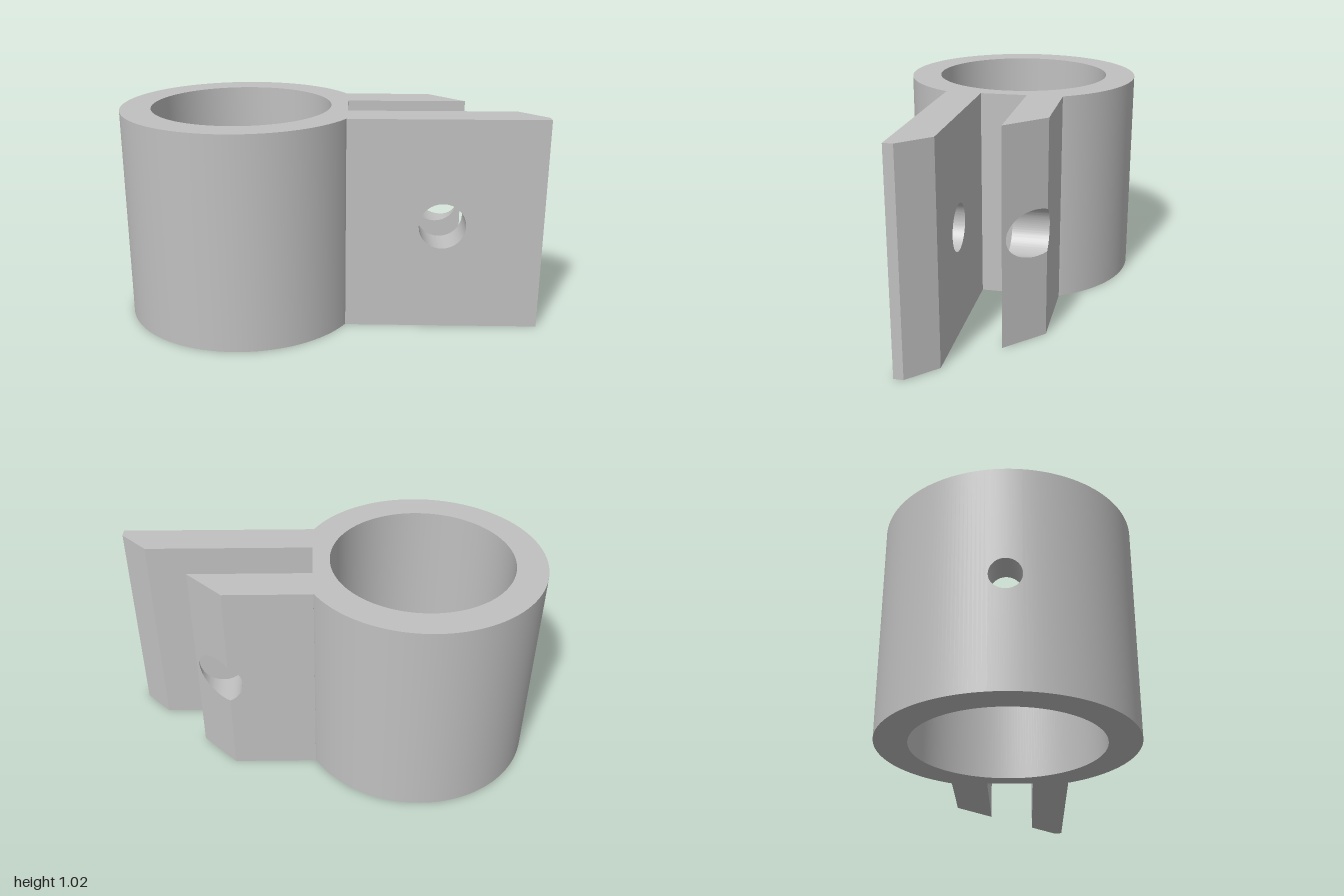
import * as THREE from 'three';
import { toCreasedNormals, mergeGeometries } from 'three/addons/utils/BufferGeometryUtils.js';

const H = 1.02, MID = 0.51;                 // height and hole level
const CX = -0.425, R_OUT = 0.575, R_IN = 0.43;
const WEB_X = 0.085;                        // flat floor of the slot
const PIN = 0.07;                           // small radial hole
const BOLT = 0.11, BOLT_X = 0.53;           // hole through both arms

// Sweeps a four-sided wall section around the ring; each side keeps its own vertices
function sweepWall(n, angle, low, high) {
  const pos = [], index = [];
  const corner = (t, k) => {
    const r = k < 2 ? R_OUT : R_IN, a = angle(r, t);
    const x = Math.min(CX + r * Math.cos(a), WEB_X);
    return [x, k === 0 || k === 3 ? low(t) : high(t), r * Math.sin(a)];
  };
  for (let side = 0; side < 4; side++) {
    const base = pos.length / 3;
    for (let i = 0; i <= n; i++) {
      pos.push(...corner(i / n, side), ...corner(i / n, (side + 1) % 4));
      if (i === n) continue;
      const a = base + i * 2;
      index.push(a, a + 1, a + 3, a, a + 3, a + 2);
    }
  }
  const g = new THREE.BufferGeometry();
  g.setAttribute('position', new THREE.Float32BufferAttribute(pos, 3));
  g.setIndex(index);
  g.computeVertexNormals();
  return g;
}

function ringGeometry() {
  // main wall runs from one side of the pin hole round to the other
  const mainAngle = (r, t) => {
    const a = Math.asin(PIN / r);
    return -Math.PI + a + t * (2 * Math.PI - 2 * a);
  };
  // strips above and below the pin hole
  const phi = t => (t - 0.5) * Math.PI;
  const pinAngle = (r, t) => Math.PI + Math.asin(PIN * Math.sin(phi(t)) / r);
  const rise = t => PIN * Math.cos(phi(t));
  return mergeGeometries([
    sweepWall(192, mainAngle, () => 0, () => H),
    sweepWall(32, pinAngle, t => MID + rise(t), () => H),
    sweepWall(32, pinAngle, () => 0, t => MID - rise(t)),
  ]);
}

const rect = (x0, x1) => new THREE.Shape([
  new THREE.Vector2(x0, 0), new THREE.Vector2(x1, 0),
  new THREE.Vector2(x1, H), new THREE.Vector2(x0, H),
]);

// Extrudes side-view shapes between two z levels; the back face follows the 45 degree chamfer
function armGeometry(shapes, zBack, zFront) {
  const g = new THREE.ExtrudeGeometry(shapes, { depth: 1, bevelEnabled: false, curveSegments: 48 });
  const p = g.attributes.position;
  for (let i = 0; i < p.count; i++) {
    const back = Math.min(zFront, Math.max(zBack, p.getX(i) - 0.765));
    p.setZ(i, p.getZ(i) > 0.5 ? zFront : back);
  }
  return toCreasedNormals(g, 0.4);
}

// Long arm, split where its chamfer starts
function longArm() {
  const plate = rect(0.08, 0.875);
  plate.holes.push(new THREE.Path().absarc(BOLT_X, MID, BOLT, 0, Math.PI * 2, true));
  return armGeometry([plate, rect(0.875, 1)], 0.11, 0.28);
}

// Short arm, its chamfer starts inside the bolt hole
function shortArm() {
  const split = 0.485, end = 0.655;
  const a = Math.acos((split - BOLT_X) / BOLT);
  const root = new THREE.Shape();
  root.moveTo(0.08, 0);
  root.lineTo(split, 0);
  root.absarc(BOLT_X, MID, BOLT, -a, a, true);
  root.lineTo(split, H);
  root.lineTo(0.08, H);
  const tip = new THREE.Shape();
  tip.moveTo(split, 0);
  tip.lineTo(end, 0);
  tip.lineTo(end, H);
  tip.lineTo(split, H);
  tip.absarc(BOLT_X, MID, BOLT, a, -a, true);
  return armGeometry([root, tip], -0.28, -0.11);
}

export function createModel() {
  const grey = new THREE.MeshStandardMaterial({ color: 0xc0c0c0 });
  grey.name = 'light grey';
  const model = new THREE.Group();
  model.name = 'clampBracket';
  const add = (name, geometry) => {
    const mesh = new THREE.Mesh(geometry, grey);
    mesh.name = name;
    model.add(mesh);
  };
  add('ring', ringGeometry());
  add('longArm', longArm());
  add('shortArm', shortArm());
  return model;
}
